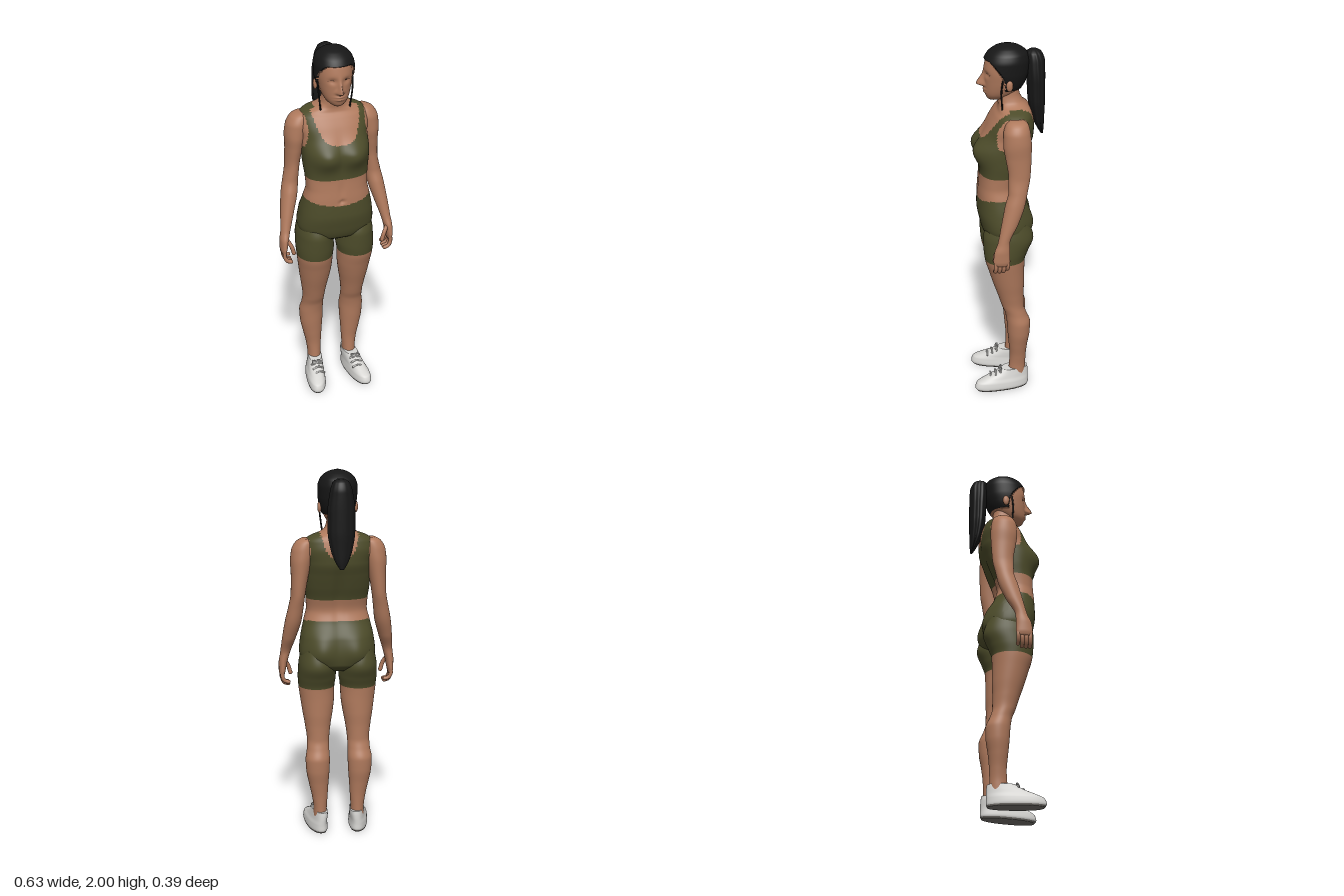
import * as THREE from 'three';

const paint = (name, color) => Object.assign(new THREE.MeshStandardMaterial({ color }), { name });
const skin = paint('skin', 0xb07a5d);
const olive = paint('olive fabric', 0x4d4c2a);
const hair = paint('black hair', 0x171717);
const white = paint('shoe white', 0xd6d5d2);
const rubber = paint('sole grey', 0x75716c);
const lash = paint('lash brown', 0x4f3327);

const bump = (v, c, w) => Math.exp(-(((v - c) / w) ** 2));

// Shape-preserving cubic interpolation of profile rows [y, ...values]
function sample(rows, y) {
  let k = 0;
  while (k < rows.length - 2 && y > rows[k + 1][0]) k++;
  const slope = (i, c) => (rows[i + 1][c] - rows[i][c]) / (rows[i + 1][0] - rows[i][0]);
  const tangent = (i, c) => {
    if (i === 0) return slope(0, c);
    if (i === rows.length - 1) return slope(i - 1, c);
    const a = slope(i - 1, c), b = slope(i, c);
    return a * b <= 0 ? 0 : (2 * a * b) / (a + b);
  };
  const h = rows[k + 1][0] - rows[k][0], t = (y - rows[k][0]) / h;
  const t2 = t * t, t3 = t2 * t;
  return [1, 2, 3, 4].map((c) =>
    (2 * t3 - 3 * t2 + 1) * rows[k][c] + (t3 - 2 * t2 + t) * h * tangent(k, c) +
    (3 * t2 - 2 * t3) * rows[k + 1][c] + (t3 - t2) * h * tangent(k + 1, c));
}

// Skins stacked sections [y, xMin, xMax, zBack, zFront]; pick(p) chooses a material index
function loft(name, rows, { segs = 48, steps = 80, power = 2, deform, pick, mats }) {
  rows = [...rows].sort((a, b) => a[0] - b[0]);
  const y0 = rows[0][0], y1 = rows.at(-1)[0];
  const base = [], pos = [];
  for (let j = -1; j <= steps + 1; j++) {
    const y = y0 + (y1 - y0) * Math.min(Math.max(j / steps, 0), 1);
    const [xa, xb, za, zb] = sample(rows, y);
    const size = j < 0 || j > steps ? 0 : 0.5;
    for (let i = 0; i < segs; i++) {
      const a = (i / segs) * Math.PI * 2;
      const s = Math.sin(a), c = Math.cos(a), e = 2 / power;
      const p = new THREE.Vector3(
        (xa + xb) / 2 + (xb - xa) * size * Math.sign(s) * Math.abs(s) ** e, y,
        (za + zb) / 2 + (zb - za) * size * Math.sign(c) * Math.abs(c) ** e);
      base.push(p.clone());
      if (deform) deform(p, a);
      pos.push(p.x, p.y, p.z);
    }
  }
  const lists = mats.map(() => []);
  for (let j = 0; j < steps + 2; j++) for (let i = 0; i < segs; i++) {
    const n = (i + 1) % segs;
    const a = j * segs + i, b = j * segs + n, c = b + segs, d = a + segs;
    const mid = base[a].clone().add(base[b]).add(base[c]).add(base[d]).multiplyScalar(0.25);
    lists[pick ? pick(mid) : 0].push(a, b, c, a, c, d);
  }
  const geo = new THREE.BufferGeometry();
  geo.setAttribute('position', new THREE.Float32BufferAttribute(pos, 3));
  geo.setIndex(lists.flat());
  let start = 0;
  lists.forEach((l, m) => { geo.addGroup(start, l.length, m); start += l.length; });
  geo.computeVertexNormals();
  const mesh = new THREE.Mesh(geo, mats);
  mesh.name = name;
  return mesh;
}

// Rows given as [y, centreX, centreZ, radiusX, radiusZ]
const round = (rows) => rows.map(([y, x, z, rx, rz]) => [y, x - rx, x + rx, z - rz, z + rz]);
const even = (rows) => rows.map(([y, rx, zf, zb]) => [y, -rx, rx, zb, zf]);
const mirror = (rows, s) => (s > 0 ? rows : rows.map(([y, a, b, c, d]) => [y, -b, -a, c, d]));

// Round-ended tube through points, mirrored by s
function strand(name, pts, r, mat, s = 1) {
  const v = pts.map(([x, y, z]) => new THREE.Vector3(x * s, y, z));
  const g = new THREE.Group();
  g.name = name;
  g.add(new THREE.Mesh(new THREE.TubeGeometry(new THREE.CatmullRomCurve3(v), 12, r, 10), mat));
  for (const p of [v[0], v.at(-1)]) {
    const end = new THREE.Mesh(new THREE.SphereGeometry(r, 10, 8), mat);
    end.position.copy(p);
    g.add(end);
  }
  return g;
}

// Sports top and shorts layout on the torso
function torsoCloth({ x, y, z }) {
  const ax = Math.abs(x);
  if (y < (z > 0 ? 1.163 + 0.03 * (ax / 0.18) ** 2 : 1.193)) return 1;
  if (y < 1.312) return 0;
  const neck = z > 0 ? 1.505 + 0.12 * (ax / 0.122) ** 4 : 1.55 + 0.1 * (ax / 0.095) ** 4;
  const arm = 0.155 + 0.03 * ((1.58 - y) / 0.12) ** 2;
  return y > neck || (y > 1.46 && ax > arm) ? 0 : 1;
}

function shapeTorso(p) {
  const { x, y } = p, ax = Math.abs(x);
  if (p.z > 0.02) {
    p.z += 0.048 * bump(ax, 0.08, 0.09) * bump(y, 1.44, 0.075);
    p.z -= 0.012 * bump(x, 0, 0.011) * bump(y, 1.183, 0.012);
    p.z -= 0.005 * bump(x, 0, 0.015) * bump(y, 1.25, 0.05);
  } else if (p.z < -0.02) {
    p.z -= 0.028 * bump(ax, 0.1, 0.07) * bump(y, 1.03, 0.09);
    p.z += 0.014 * bump(x, 0, 0.03) * bump(y, 1.35, 0.2);
  }
}

const isHair = ({ y, z }) =>
  y > (z > 0.02 ? 1.8 + 0.125 * Math.min(1, (z - 0.02) / 0.075) ** 0.6 : 1.768) ? 1 : 0;

function shapeHead(p) {
  if (isHair(p)) {
    p.x *= 1.13;
    p.z = 0.01 + (p.z - 0.01) * 1.1;
  } else if (p.z > 0.03) {
    const { x, y } = p, ax = Math.abs(x);
    const nose = y > 1.79 ? bump(y, 1.79, 0.045) : bump(y, 1.79, 0.012);
    p.z += 0.042 * nose * bump(x, 0, 0.009 + 0.007 * bump(y, 1.788, 0.02));
    p.z -= 0.01 * bump(ax, 0.037, 0.02) * bump(y, 1.848, 0.016);
    p.z += 0.008 * bump(x, 0, 0.024) * (bump(y, 1.762, 0.007) + bump(y, 1.747, 0.007));
  }
}

export function createModel() {
  const model = new THREE.Group();
  model.name = 'woman in sportswear';

  model.add(loft('torso', even([
    [0.92, 0.08, 0.08, -0.06], [0.96, 0.185, 0.135, -0.1], [1.02, 0.207, 0.155, -0.108],
    [1.1, 0.198, 0.168, -0.1], [1.19, 0.178, 0.165, -0.062], [1.25, 0.165, 0.16, -0.045],
    [1.31, 0.168, 0.155, -0.058], [1.38, 0.175, 0.15, -0.085], [1.45, 0.178, 0.148, -0.11],
    [1.52, 0.178, 0.128, -0.132], [1.58, 0.188, 0.105, -0.135], [1.63, 0.182, 0.075, -0.125],
    [1.657, 0.15, 0.055, -0.115], [1.677, 0.095, 0.052, -0.1], [1.7, 0.068, 0.055, -0.078],
    [1.74, 0.058, 0.058, -0.06], [1.8, 0.055, 0.05, -0.055],
  ]), { segs: 104, steps: 160, power: 2.4, deform: shapeTorso, pick: torsoCloth, mats: [skin, olive] }));

  model.add(loft('head', even([
    [1.704, 0.022, 0.098, 0.04], [1.714, 0.04, 0.11, 0.0], [1.74, 0.062, 0.119, -0.035],
    [1.77, 0.075, 0.122, -0.065], [1.81, 0.085, 0.123, -0.085], [1.86, 0.092, 0.125, -0.097],
    [1.91, 0.093, 0.118, -0.1], [1.95, 0.083, 0.1, -0.092], [1.98, 0.058, 0.068, -0.062],
    [1.993, 0.034, 0.04, -0.034], [2.0, 0.008, 0.015, -0.005],
  ]), { segs: 104, steps: 120, power: 2.1, deform: shapeHead, pick: isHair, mats: [skin, hair] }));

  // Ponytail with shallow ridges
  model.add(loft('ponytail', round([
    [1.966, 0, -0.132, 0.018, 0.02], [1.95, 0, -0.135, 0.042, 0.04], [1.9, 0, -0.142, 0.058, 0.05],
    [1.8, 0, -0.146, 0.07, 0.048], [1.7, 0, -0.149, 0.07, 0.045], [1.6, 0, -0.158, 0.055, 0.033],
    [1.54, 0, -0.17, 0.034, 0.019], [1.5, 0, -0.18, 0.01, 0.006],
  ]), { segs: 60, deform: (p, a) => { p.x *= 1 + 0.04 * Math.cos(11 * a); }, mats: [hair] }));

  const arm = round([
    [1.645, 0.172, -0.03, 0.025, 0.035], [1.628, 0.176, -0.03, 0.05, 0.056],
    [1.58, 0.19, -0.028, 0.061, 0.07], [1.52, 0.2, -0.03, 0.057, 0.073],
    [1.45, 0.207, -0.034, 0.047, 0.067], [1.35, 0.217, -0.038, 0.039, 0.057],
    [1.27, 0.229, -0.03, 0.041, 0.05], [1.2, 0.241, -0.014, 0.044, 0.052],
    [1.1, 0.262, 0.016, 0.037, 0.044], [1.0, 0.283, 0.05, 0.026, 0.032],
    [0.95, 0.293, 0.06, 0.023, 0.041], [0.9, 0.298, 0.062, 0.018, 0.044],
    [0.875, 0.298, 0.062, 0.012, 0.038],
  ]);
  const leg = [
    [1.04, 0.04, 0.195, -0.1, 0.115], [0.95, 0.012, 0.213, -0.126, 0.145],
    [0.88, 0.009, 0.216, -0.1, 0.142], [0.82, 0.016, 0.212, -0.08, 0.135],
    [0.75, 0.019, 0.203, -0.078, 0.115], [0.68, 0.028, 0.193, -0.078, 0.094],
    [0.6, 0.042, 0.18, -0.075, 0.067], [0.53, 0.05, 0.172, -0.076, 0.045],
    [0.48, 0.052, 0.174, -0.09, 0.026], [0.42, 0.05, 0.183, -0.112, 0.017],
    [0.36, 0.052, 0.18, -0.11, 0.013], [0.28, 0.058, 0.165, -0.098, 0.006],
    [0.2, 0.063, 0.148, -0.09, 0.0], [0.13, 0.067, 0.14, -0.088, 0.004],
    [0.08, 0.067, 0.14, -0.088, 0.01],
  ];
  const shoe = [
    [0, 0.066, 0.164, -0.098, 0.188], [0.018, 0.06, 0.168, -0.105, 0.199],
    [0.045, 0.063, 0.165, -0.104, 0.19], [0.07, 0.066, 0.156, -0.104, 0.145],
    [0.095, 0.066, 0.15, -0.103, 0.085], [0.12, 0.068, 0.145, -0.1, 0.045],
  ];

  for (const s of [1, -1]) {
    const side = s > 0 ? 'left' : 'right';
    model.add(loft(side + 'Arm', mirror(arm, s), { segs: 40, steps: 100, mats: [skin] }));
    model.add(loft(side + 'Leg', mirror(leg, s), {
      steps: 120, pick: (p) => (p.y > 0.825 ? 1 : 0), mats: [skin, olive],
    }));
    // Shoe, toes turned out and heel narrowed
    model.add(loft(side + 'Shoe', mirror(shoe, s), {
      steps: 60, power: 2.4, mats: [white, rubber], pick: (p) => (p.y < 0.01 ? 1 : 0),
      deform: (p) => {
        p.x = s * 0.112 + (p.x - s * 0.112) * (1 + 0.9 * Math.min(0, p.z + 0.02));
        p.x += s * 0.14 * p.z;
      },
    }));
    for (let i = 0; i < 3; i++) {
      const z = 0.055 + i * 0.027, y = 0.117 - i * 0.014;
      model.add(strand(side + 'Lace', [[0.085, y - 0.012, z], [0.114, y, z], [0.143, y - 0.012, z]], 0.005, white, s));
    }
    for (const t of [-1, 1]) {
      const bow = new THREE.Mesh(new THREE.TorusGeometry(0.011, 0.0035, 8, 16), white);
      bow.name = side + 'LaceBow';
      bow.position.set(s * 0.116 + t * 0.014, 0.118, 0.055);
      bow.rotation.x = -0.6;
      model.add(bow);
    }
    // Curled fingers and thumb
    for (let i = 0; i < 4; i++) {
      const z = 0.03 + i * 0.021, d = i === 0 ? 0.014 : 0;
      model.add(strand(side + 'Finger', [[0.298, 0.895, z], [0.299, 0.86 + d, z], [0.286, 0.836 + d, z + 0.002],
        [0.265, 0.829 + d, z + 0.003]], 0.0105, skin, s));
    }
    model.add(strand(side + 'Thumb', [[0.282, 0.955, 0.08], [0.262, 0.92, 0.093], [0.25, 0.88, 0.095]], 0.0115, skin, s));
    // Ear, eyelashes and loose wisp
    const ear = new THREE.Mesh(new THREE.SphereGeometry(1, 16, 12), skin);
    ear.name = side + 'Ear';
    ear.scale.set(0.011, 0.03, 0.018);
    ear.position.set(s * 0.097, 1.803, 0.0);
    model.add(ear);
    model.add(strand(side + 'Lashes', [[0.021, 1.849, 0.113], [0.038, 1.853, 0.105], [0.058, 1.849, 0.096]], 0.0028, lash, s));
    model.add(strand(side + 'Wisp', [[0.095, 1.83, 0.035], [0.09, 1.76, 0.042], [0.078, 1.66, 0.035]], 0.0045, hair, s));
  }
  return model;
}
